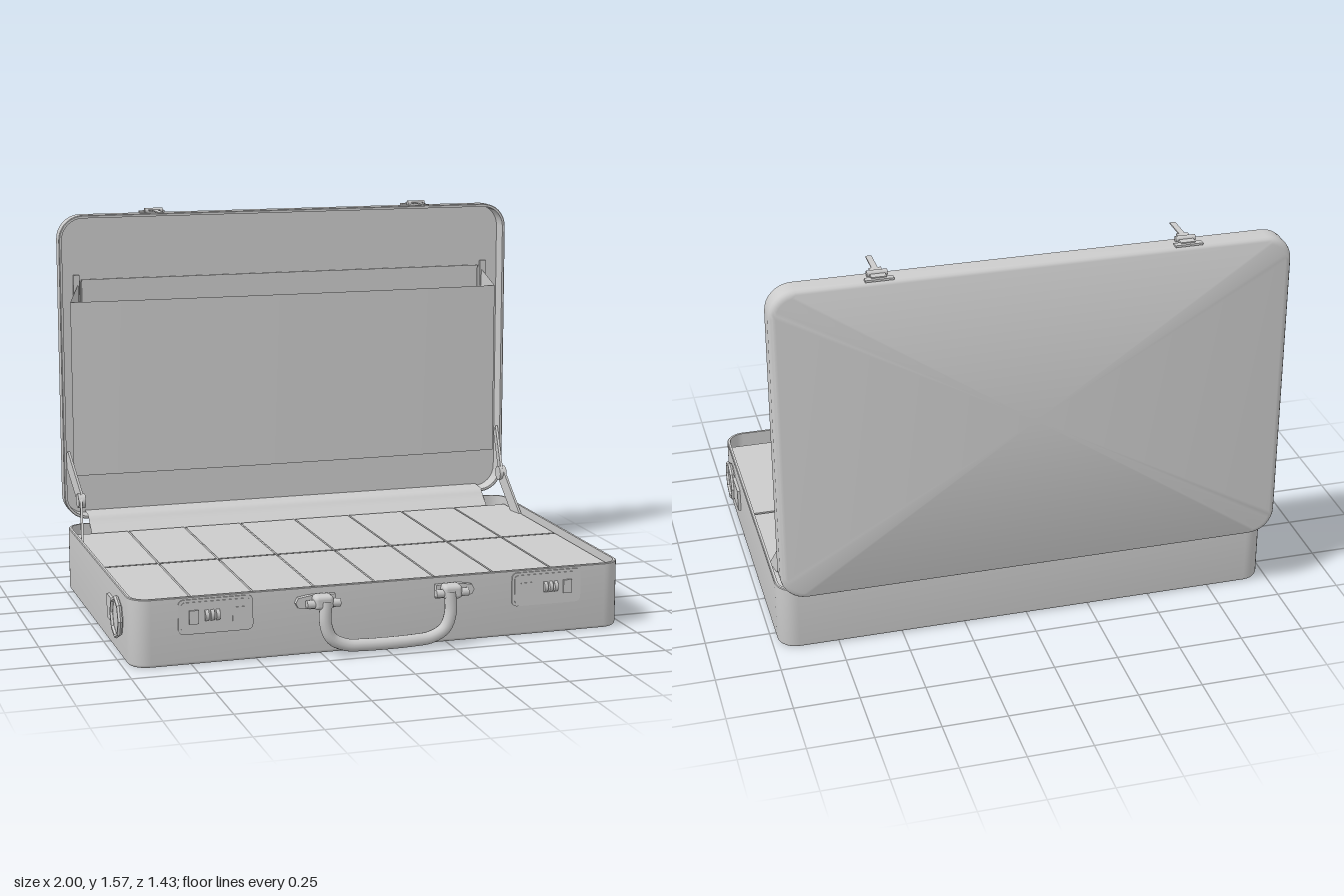
import * as THREE from 'three';
import { toCreasedNormals } from 'three/addons/utils/BufferGeometryUtils.js';
import { RoundedBoxGeometry } from 'three/addons/geometries/RoundedBoxGeometry.js';

const grey = new THREE.MeshStandardMaterial({ color: 0xcccccc });
const thin = new THREE.MeshStandardMaterial({ color: 0xcccccc, side: THREE.DoubleSide });

function add(parent, name, geo, x = 0, y = 0, z = 0, mat = grey) {
  const m = new THREE.Mesh(geo, mat);
  m.name = name;
  m.position.set(x, y, z);
  parent.add(m);
  return m;
}

// Rounded-rectangle outline, counter-clockwise
function outline(w, d, r, n = 8) {
  const pts = [];
  for (let c = 0; c < 4; c++) {
    const sx = c === 0 || c === 3 ? 1 : -1, sy = c < 2 ? 1 : -1;
    for (let i = 0; i <= n; i++) {
      const a = (c + i / n) * Math.PI / 2;
      pts.push([sx * (w / 2 - r) + r * Math.cos(a), sy * (d / 2 - r) + r * Math.sin(a)]);
    }
  }
  return pts;
}

// Open tray in the xy plane, opening towards +z, lofted from inset outlines
function tray(w, d, h, r, bevel, wall, floor) {
  const steps = [[null, 0]];
  for (let i = 0; i <= 4; i++) {
    const a = i / 4 * Math.PI / 2;
    steps.push([bevel * (1 - Math.sin(a)), bevel * (1 - Math.cos(a))]);
  }
  steps.push([0, h - 0.003], [0.003, h], [wall, h], [wall, floor], [null, floor]);
  const pos = [], idx = [];
  const n = outline(w, d, r).length;
  steps.forEach(([inset, z], k) => {
    const loop = outline(w - 2 * (inset ?? 0), d - 2 * (inset ?? 0), r - (inset ?? 0));
    const s = inset === null ? 0 : 1;
    loop.forEach(([x, y], j) => {
      pos.push(x * s, y * s, z);
      if (k === 0) return;
      const a = (k - 1) * n + j, b = (k - 1) * n + (j + 1) % n;
      idx.push(a, b, b + n, a, b + n, a + n);
    });
  });
  const g = new THREE.BufferGeometry();
  g.setAttribute('position', new THREE.Float32BufferAttribute(pos, 3));
  g.setIndex(idx);
  return toCreasedNormals(g, 0.6);
}

// Four-cornered sheet
function quad(a, b, c, d) {
  const g = new THREE.BufferGeometry();
  g.setAttribute('position', new THREE.Float32BufferAttribute([...a, ...b, ...c, ...d], 3));
  g.setIndex([0, 1, 2, 0, 2, 3]);
  g.computeVertexNormals();
  return g;
}

// Flat bar between two points
function bar(parent, name, p, q, t, w) {
  const a = new THREE.Vector3(...p), b = new THREE.Vector3(...q);
  const m = add(parent, name, new THREE.BoxGeometry(t, w, a.distanceTo(b) + 0.02));
  m.position.copy(a).lerp(b, 0.5);
  m.lookAt(b);
}

function roundedPlate(w, h, r, depth) {
  const shape = new THREE.Shape(outline(w, h, r, 4).map(([x, y]) => new THREE.Vector2(x, y)));
  return new THREE.ExtrudeGeometry(shape, { depth, bevelEnabled: false });
}

export function createModel() {
  const root = new THREE.Group();
  root.name = 'briefcase';

  // Case base and upright lid
  add(root, 'base', tray(1.955, 1.267, 0.26, 0.075, 0.012, 0.012, 0.02).rotateX(-Math.PI / 2), 0, 0, 0.0135);
  const lid = new THREE.Group();
  lid.name = 'lid';
  root.add(lid);
  add(lid, 'lidShell', tray(1.955, 1.272, 0.086, 0.1, 0.026, 0.012, 0.016), 0, 0.911, -0.716);

  // Packed bundles: eight columns, two rows
  const bundles = new THREE.Group();
  bundles.name = 'bundles';
  root.add(bundles);
  for (let i = 0; i < 8; i++) {
    for (let j = 0; j < 2; j++) {
      add(bundles, 'bundle', new THREE.BoxGeometry(0.234, 0.205, 0.56),
        (i - 3.5) * 0.2415 - 0.003, 0.1275, j ? 0.303 : -0.267);
    }
  }

  // Cloth strip covering the hinge
  const clothCurve = new THREE.SplineCurve([[-0.545, 0.215], [-0.575, 0.24], [-0.605, 0.265],
    [-0.635, 0.29], [-0.7, 0.296]].map(p => new THREE.Vector2(...p)));
  const cloth = new THREE.PlaneGeometry(1.76, 1, 1, 12);
  const cp = cloth.attributes.position;
  for (let i = 0; i < cp.count; i++) {
    const p = clothCurve.getPoint(0.5 - cp.getY(i));
    cp.setXYZ(i, cp.getX(i), p.y, p.x);
  }
  cloth.computeVertexNormals();
  add(root, 'hingeCloth', cloth, 0, 0, 0, thin);

  // Lid pocket: bowed front, back panel, bottom and side gussets
  const front = new THREE.PlaneGeometry(1.87, 0.73, 24, 1);
  const fp = front.attributes.position;
  for (let i = 0; i < fp.count; i++) fp.setZ(i, 0.015 * (1 - (fp.getX(i) / 0.935) ** 2));
  front.computeVertexNormals();
  add(lid, 'pocketFront', front, 0, 0.825, -0.636, thin);
  add(lid, 'pocketBack', new THREE.BoxGeometry(1.75, 0.815, 0.008), 0, 0.8675, -0.696);
  add(lid, 'pocketBottom', quad([-0.935, 0.46, -0.636], [0.935, 0.46, -0.636],
    [0.9, 0.46, -0.699], [-0.9, 0.46, -0.699]), 0, 0, 0, thin);

  for (const s of [1, -1]) {
    add(lid, 'pocketGusset', quad([s * 0.935, 0.46, -0.636], [s * 0.935, 1.19, -0.636],
      [s * 0.88, 1.275, -0.696], [s * 0.88, 0.46, -0.696]), 0, 0, 0, thin);
    add(lid, 'pocketTab', new THREE.BoxGeometry(0.025, 0.11, 0.012), s * 0.898, 1.24, -0.69);

    // Folding lid stay
    const knee = [s * 0.93, 0.38, -0.517];
    bar(root, 'stayLower', [s * 0.957, 0.19, -0.359], knee, 0.01, 0.058);
    bar(root, 'stayUpper', knee, [s * 0.957, 0.54, -0.655], 0.01, 0.058);
    add(root, 'stayPivot', new THREE.CylinderGeometry(0.03, 0.03, 0.03, 20).rotateZ(Math.PI / 2), ...knee);

    // Side ring on a leather tag
    add(root, 'sideTag', new THREE.BoxGeometry(0.012, 0.092, 0.12), s * 0.983, 0.15, 0.33);
    add(root, 'sideDisc', new THREE.CylinderGeometry(0.07, 0.07, 0.012, 8).rotateZ(Math.PI / 2), s * 0.983, 0.15, 0.446);
    add(root, 'sideRing', toCreasedNormals(new THREE.TorusGeometry(0.074, 0.01, 6, 8).rotateY(Math.PI / 2), 0.5),
      s * 0.99, 0.15, 0.446);

    // Combination lock
    const lock = new THREE.Group();
    lock.name = 'lock';
    lock.position.set(s * 0.658, 0.184, 0.645);
    root.add(lock);
    add(lock, 'lockPlate', roundedPlate(0.285, 0.132, 0.02, 0.007));
    add(lock, 'lockFace', roundedPlate(0.265, 0.112, 0.014, 0.01));
    add(lock, 'slideButton', new THREE.BoxGeometry(0.035, 0.052, 0.012), s * 0.085, 0, 0.012);
    add(lock, 'catchWindow', new THREE.BoxGeometry(0.045, 0.052, 0.006), s * -0.085, 0, 0.01);
    for (let i = -1; i <= 1; i++) {
      add(lock, 'dial', new THREE.CylinderGeometry(0.022, 0.022, 0.014, 16).rotateZ(Math.PI / 2),
        s * 0.015 + i * 0.021, 0.003, 0.004);
    }

    // Handle mount
    const wing = new THREE.Shape([[0.2, 0.18], [0.3, 0.18], [0.345, 0.187], [0.355, 0.205], [0.345, 0.225],
      [0.3, 0.232], [0.2, 0.232]].map(([x, y]) => new THREE.Vector2(s * x, y)));
    add(root, 'handleMount', new THREE.ExtrudeGeometry(wing, { depth: 0.022, bevelEnabled: false }), 0, 0, 0.645);
    add(root, 'handleLug', new RoundedBoxGeometry(0.075, 0.055, 0.062, 3, 0.016), s * 0.255, 0.21, 0.68);
    add(root, 'handlePin', new THREE.CylinderGeometry(0.016, 0.016, 0.13, 16).rotateZ(Math.PI / 2), s * 0.255, 0.205, 0.69);

    // Lid latch with its hook
    const latch = new THREE.Group();
    latch.name = 'latch';
    latch.position.set(s * 0.575, 1.547, 0);
    lid.add(latch);
    add(latch, 'latchPlate', new THREE.BoxGeometry(0.105, 0.008, 0.024), 0, 0.003, -0.695);
    add(latch, 'latchStem', new THREE.BoxGeometry(0.055, 0.012, 0.05), 0, 0.005, -0.67);
    add(latch, 'latchBarrel', new THREE.CylinderGeometry(0.011, 0.011, 0.075, 12).rotateZ(Math.PI / 2), 0, 0.01, -0.656);
    add(latch, 'latchHook', new THREE.BoxGeometry(0.045, 0.005, 0.035), 0, 0.012, -0.638);
    add(latch, 'latchTongue', new THREE.BoxGeometry(0.022, 0.005, 0.115), 0, 0.012, -0.575);

    // Hinge leaf
    add(root, 'hingeLeaf', new THREE.BoxGeometry(0.17, 0.03, 0.006), s * 0.315, 0.262, -0.622);
  }

  // Carrying handle
  const path = new THREE.CatmullRomCurve3([[-0.245, 0.215], [-0.248, 0.13], [-0.225, 0.07], [-0.17, 0.04],
    [-0.1, 0.033], [0.1, 0.033], [0.17, 0.04], [0.225, 0.07], [0.248, 0.13], [0.245, 0.215]]
    .map(([x, y]) => new THREE.Vector3(x, y, 0)));
  add(root, 'handle', new THREE.TubeGeometry(path, 64, 0.024, 12), 0, 0, 0.695);

  return root;
}
